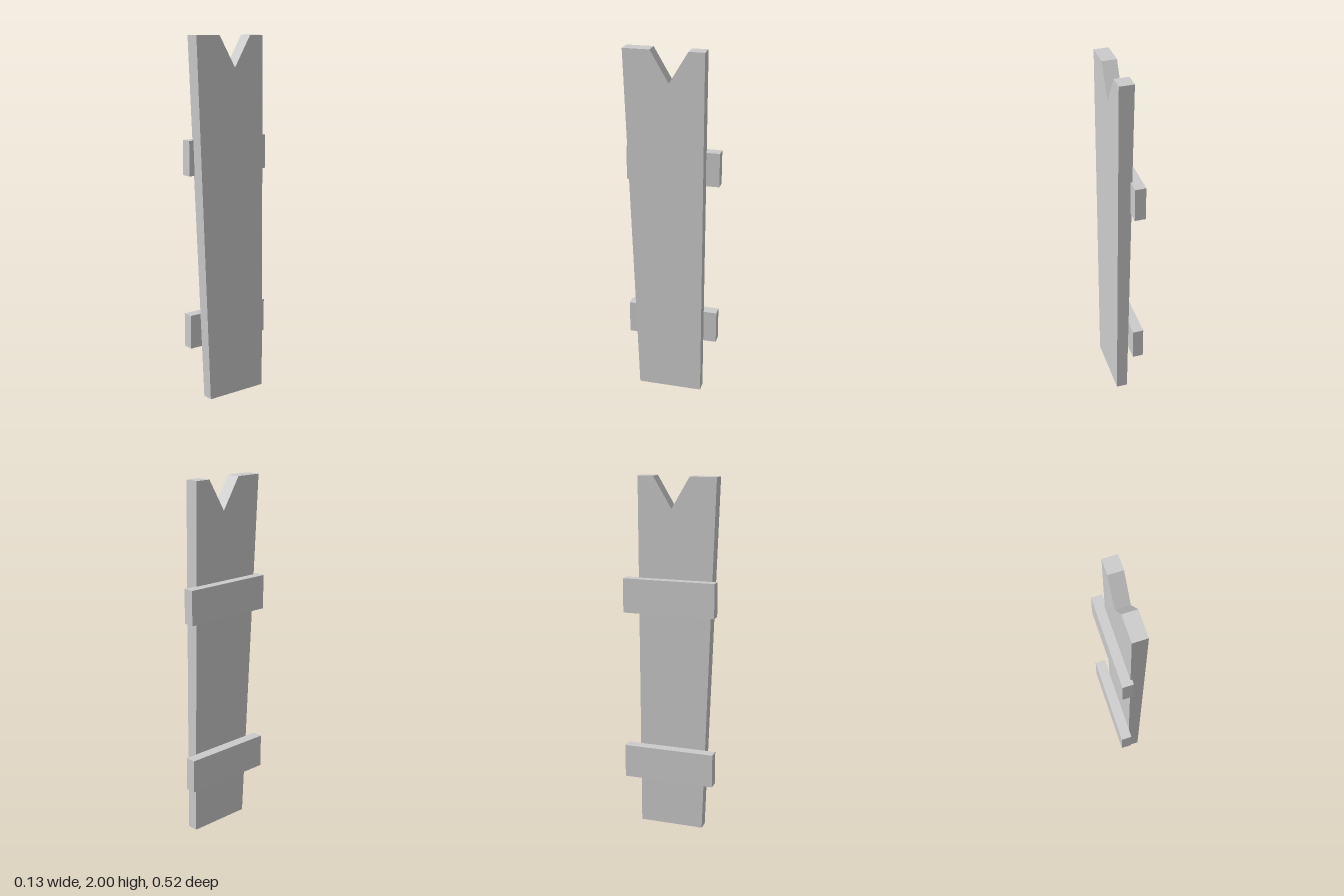
import * as THREE from 'three';

export function createModel() {
  const model = new THREE.Group();
  const material = new THREE.MeshStandardMaterial({ color: 0xcccccc, flatShading: true });

  // Tapered plank with a V notch in its top; outline is (-z, y)
  const outline = [
    [-0.18, 0], [0.187, 0], [0.184, 2], [0.098, 2],
    [-0.004, 1.83], [-0.105, 2], [-0.252, 2],
  ].map(([u, y]) => new THREE.Vector2(u, y));
  const plankGeometry = new THREE.ExtrudeGeometry(new THREE.Shape(outline), {
    depth: 1, bevelEnabled: false,
  });
  plankGeometry.rotateY(Math.PI / 2);

  // Lean the plank and thicken it slightly toward the top
  const p = plankGeometry.attributes.position;
  for (let i = 0; i < p.count; i++) {
    const t = p.getY(i) / 2;
    const back = THREE.MathUtils.lerp(0.004, -0.025, t);
    const front = THREE.MathUtils.lerp(0.067, 0.055, t);
    p.setX(i, THREE.MathUtils.lerp(back, front, p.getX(i)));
  }
  plankGeometry.computeVertexNormals();
  const plank = new THREE.Mesh(plankGeometry, material);
  plank.name = 'notchedPlank';
  model.add(plank);

  // Two horizontal rails behind the plank
  for (const [name, y] of [['lowerRail', 0.39], ['upperRail', 1.357]]) {
    const rail = new THREE.Mesh(new THREE.BoxGeometry(0.06, 0.19, 0.518), material);
    rail.name = name;
    rail.position.set(-0.038, y, 0);
    model.add(rail);
  }
  return model;
}
